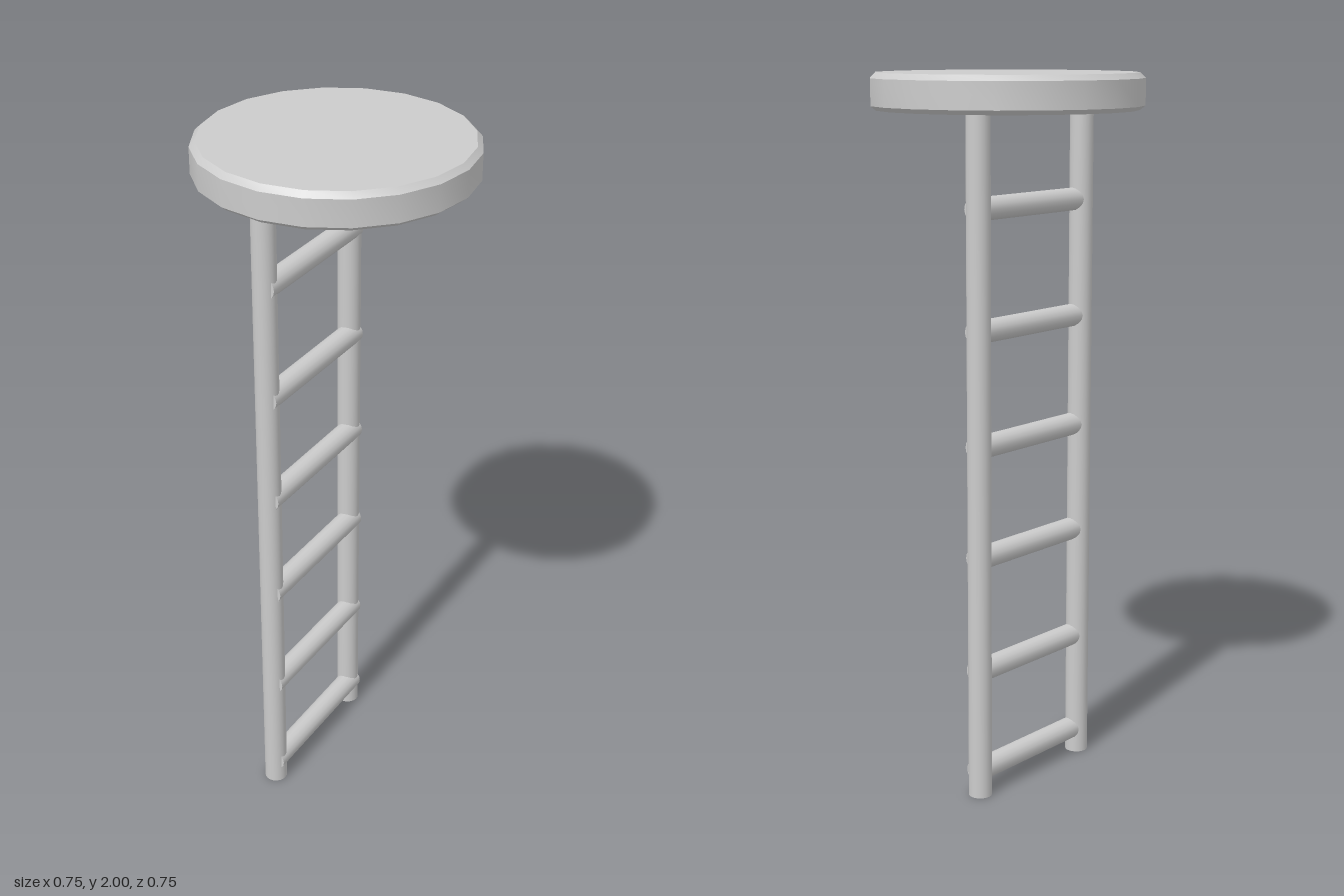
import * as THREE from 'three';
import { toCreasedNormals } from 'three/addons/utils/BufferGeometryUtils.js';

export function createModel() {
  const model = new THREE.Group();
  const material = new THREE.MeshStandardMaterial({ color: 0xcccccc });

  const add = (name, geometry, x, y, z) => {
    const mesh = new THREE.Mesh(geometry, material);
    mesh.name = name;
    mesh.position.set(x, y, z);
    model.add(mesh);
    return mesh;
  };

  // Round platform: twenty sides with a small bevel on both rims
  const profile = [
    [0, 1.9], [0.36, 1.9], [0.375, 1.912], [0.375, 1.985], [0.36, 2], [0, 2],
  ].map(([r, y]) => new THREE.Vector2(r, y));
  add('platform', toCreasedNormals(new THREE.LatheGeometry(profile, 20), 0.5), 0, 0, 0);

  // Two upright rails, reaching slightly into the platform
  const rail = new THREE.CylinderGeometry(0.033, 0.033, 1.91, 20);
  add('frontRail', rail, -0.087, 0.955, 0.218);
  add('backRail', rail, -0.087, 0.955, -0.218);

  // Rungs, set slightly proud of the rails
  const rung = new THREE.CylinderGeometry(0.032, 0.032, 0.464, 16).rotateX(Math.PI / 2);
  [0.07, 0.365, 0.692, 1.005, 1.322, 1.65].forEach((y, i) => {
    add(`rung${i + 1}`, rung, -0.081, y, 0.001);
  });

  return model;
}
